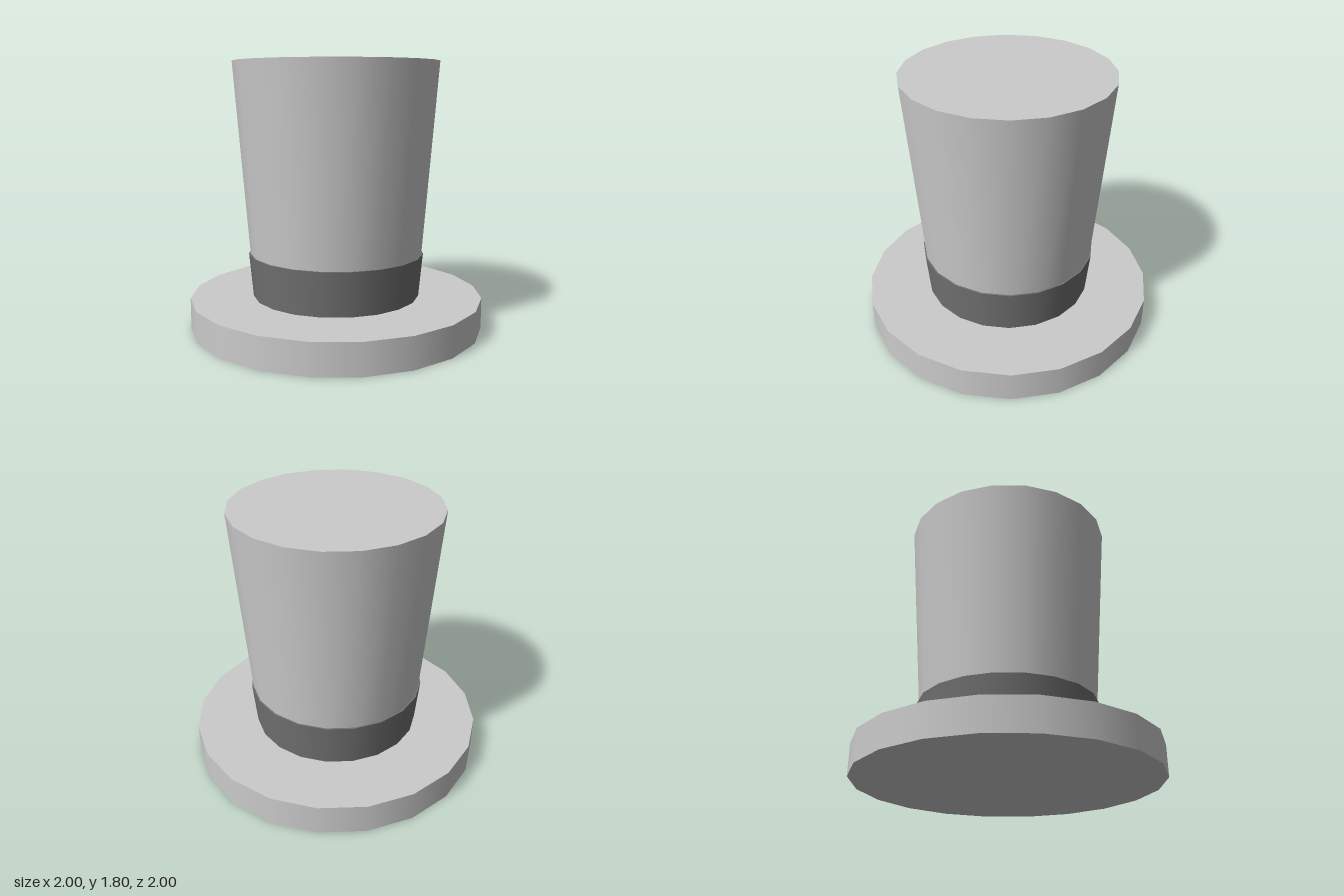
import * as THREE from 'three';

const SIDES = 20;

// Capped, smooth-sided round section between two heights
function section(name, rBottom, rTop, y0, y1, color) {
  const geometry = new THREE.CylinderGeometry(rTop, rBottom, y1 - y0, SIDES);
  const mesh = new THREE.Mesh(geometry, new THREE.MeshStandardMaterial({ color }));
  mesh.name = name;
  mesh.position.y = (y0 + y1) / 2;
  return mesh;
}

export function createModel() {
  const hat = new THREE.Group();
  hat.name = 'topHat';
  hat.add(
    section('brim', 1, 1, 0, 0.21, 0xcccccc),
    section('crown', 0.565, 0.69, 0.2, 1.8, 0xcccccc), // flares towards the top
    section('hatBand', 0.572, 0.6, 0.205, 0.507, 0x727272),
  );
  return hat;
}
